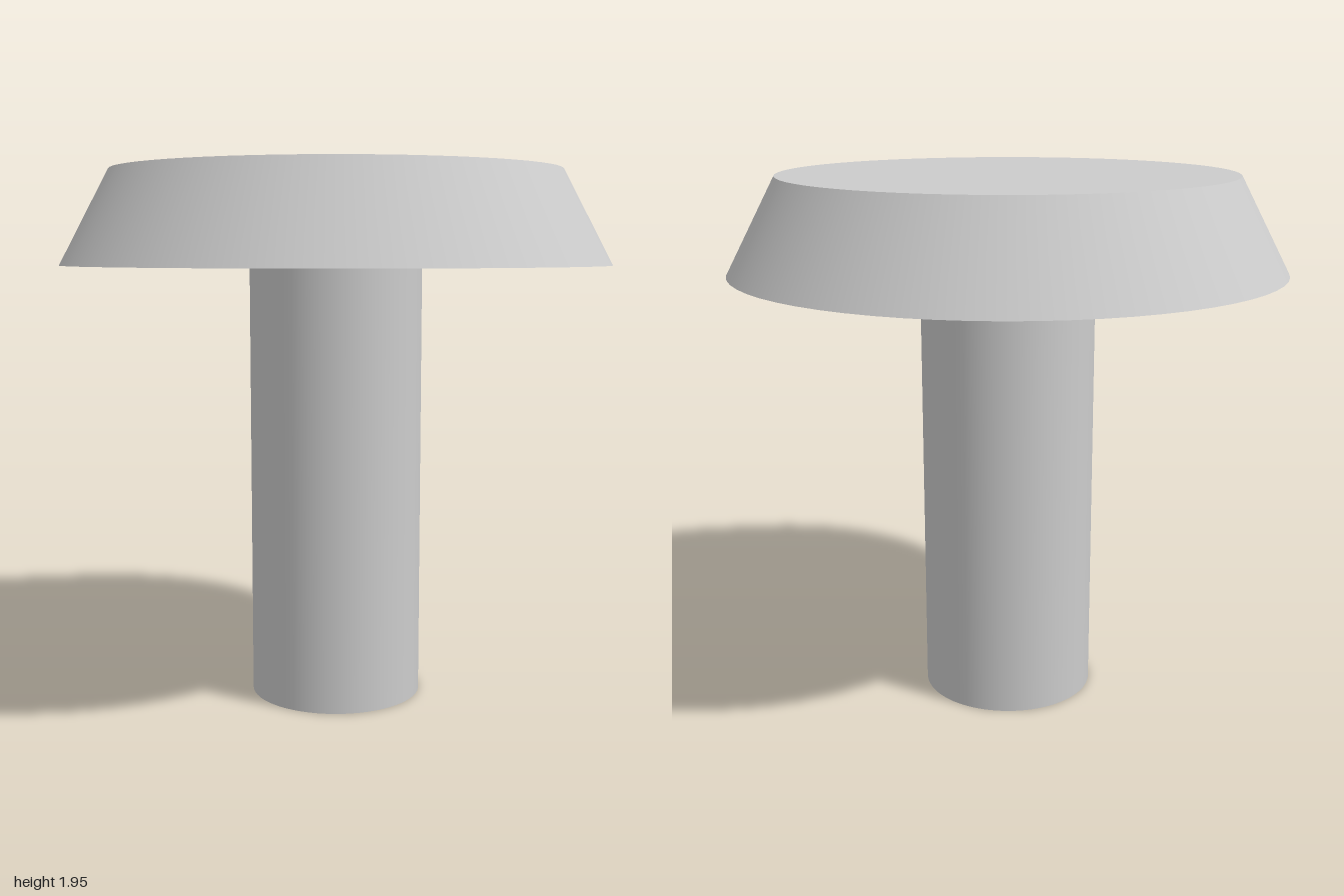
import * as THREE from 'three';

export function createModel() {
  const group = new THREE.Group();
  const grey = new THREE.MeshStandardMaterial({ color: 0xcccccc });
  grey.name = 'light grey';

  // Adds an upright round part spanning bottom to top
  function addRound(name, topRadius, bottomRadius, bottom, top) {
    const geometry = new THREE.CylinderGeometry(topRadius, bottomRadius, top - bottom, 64);
    const mesh = new THREE.Mesh(geometry, grey);
    mesh.name = name;
    mesh.position.y = (bottom + top) / 2;
    group.add(mesh);
  }

  addRound('stem', 0.318, 0.318, 0, 1.61); // straight shaft
  addRound('cap', 0.82, 1, 1.61, 1.95); // tapered head

  return group;
}
